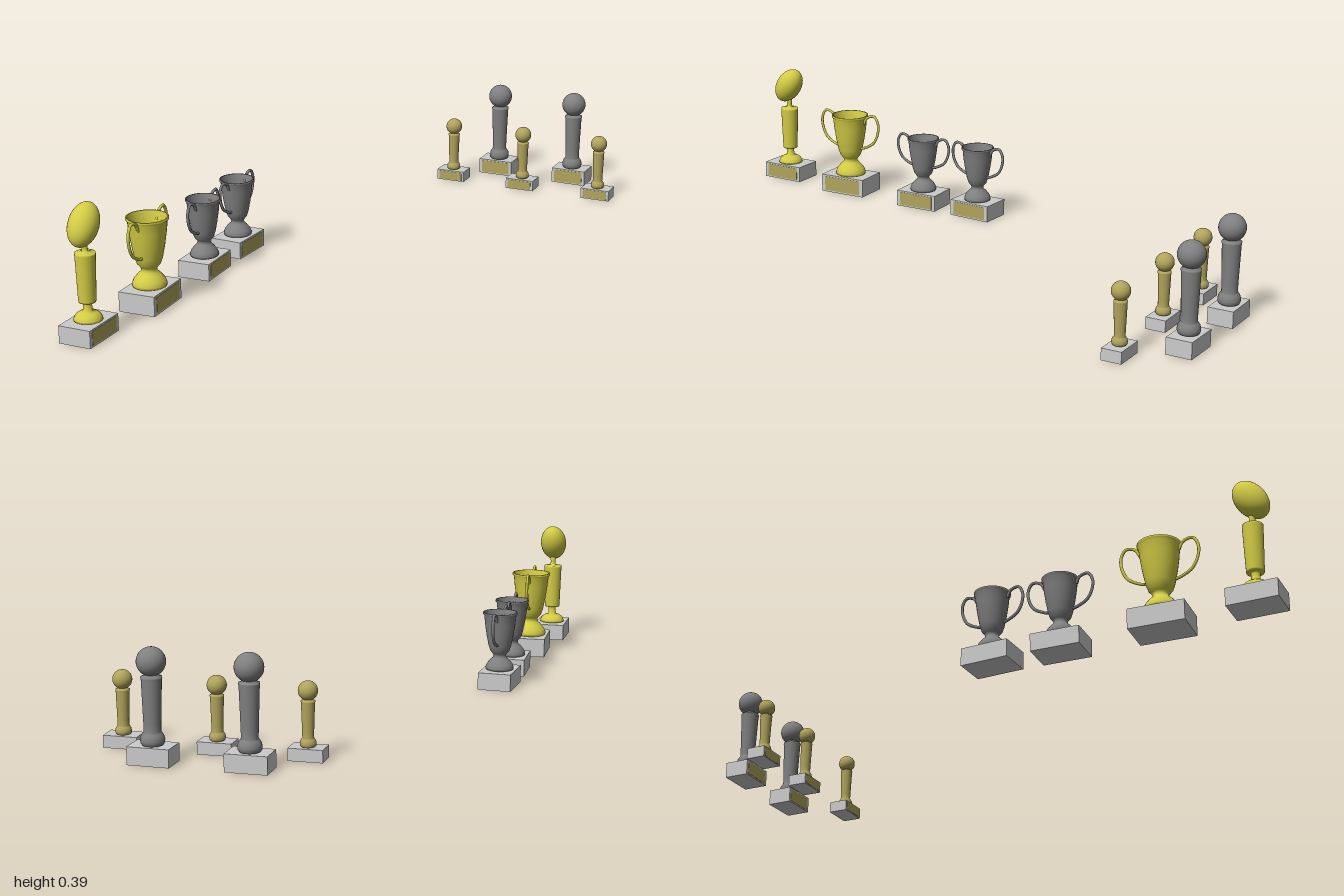
import * as THREE from 'three';

const mat = (color, side = THREE.FrontSide) =>
  new THREE.MeshStandardMaterial({ color, side });
const STONE = mat(0xcccccc);
const BRASS = mat(0xb0a45c);
const GOLD = mat(0xd2cc45, THREE.DoubleSide);
const PEWTER = mat(0x808080, THREE.DoubleSide);

function add(parent, name, geometry, material, x = 0, y = 0, z = 0) {
  const mesh = new THREE.Mesh(geometry, material);
  mesh.name = name;
  mesh.position.set(x, y, z);
  parent.add(mesh);
  return mesh;
}

// Turned part from [radius, height] pairs
const turned = (points, segments = 32) =>
  new THREE.LatheGeometry(points.map(([r, y]) => new THREE.Vector2(r, y)), segments);

// Block with a framed plaque on its front (+z)
function plinth(parent, w, h, d) {
  add(parent, 'plinth', new THREE.BoxGeometry(w, h, d), STONE, 0, h / 2, 0);
  add(parent, 'plaque', new THREE.BoxGeometry(w * 0.84, h * 0.82, 0.002), BRASS, 0, h / 2, d / 2);
}

// Round ball on a tapering column; s = 1 is the large size
function ballTrophy(name, s, w, h, d, material) {
  const g = new THREE.Group();
  g.name = name;
  plinth(g, w, h, d);
  const column = [
    [0, 0], [0.028, 0], [0.032, 0.006], [0.033, 0.014], [0.031, 0.024], [0.026, 0.032],
    [0.023, 0.036], [0.0235, 0.06], [0.0275, 0.177], [0.0285, 0.179], [0.0285, 0.184],
    [0.021, 0.186], [0.019, 0.194], [0, 0.194]
  ].map(([r, y]) => [r * s, y * s]);
  add(g, 'column', turned(column), material, 0, h, 0);
  add(g, 'ball', new THREE.SphereGeometry(0.0395 * s, 32, 24), material, 0, h + 0.224 * s, 0);
  return g;
}

// Oval ball leaning on a thin stem
function ovalBallTrophy() {
  const g = new THREE.Group();
  g.name = 'ovalBallTrophy';
  plinth(g, 0.146, 0.052, 0.1);
  add(g, 'column', turned([
    [0, 0.052], [0.041, 0.052], [0.04, 0.058], [0.035, 0.068], [0.025, 0.075],
    [0.013, 0.079], [0.012, 0.1], [0.013, 0.104], [0.024, 0.105], [0.025, 0.11],
    [0.029, 0.243], [0.029, 0.248], [0.009, 0.25], [0.008, 0.262], [0.01, 0.285], [0, 0.285]
  ]), GOLD);
  const ball = add(g, 'ovalBall', new THREE.SphereGeometry(1, 32, 24), GOLD, 0, 0.328, 0);
  ball.scale.set(0.043, 0.065, 0.043);
  ball.rotation.z = -0.6;
  return g;
}

// Open two-handled cup: H rim height, R rim radius, reach of the handles
function cupTrophy(name, w, h, d, H, R, reach, material) {
  const g = new THREE.Group();
  g.name = name;
  plinth(g, w, h, d);
  const c = H - h;
  const profile = [
    [0, 0], [0.8, 0], [0.82, 0.04], [0.74, 0.1], [0.55, 0.17], [0.4, 0.21],
    [0.36, 0.25], [0.42, 0.28], [0.56, 0.33], [0.66, 0.42], [0.78, 0.6], [0.88, 0.8],
    [0.93, 0.95], [1, 0.97], [1, 1], [0.92, 1], [0.84, 0.8], [0.73, 0.6],
    [0.6, 0.42], [0.45, 0.33], [0, 0.31]
  ].map(([r, y]) => [r * R, h + y * c]);
  add(g, 'cup', turned(profile), material);
  // One handle curve, mirrored to the other side
  for (const side of [-1, 1]) {
    const path = new THREE.CatmullRomCurve3([
      [R * 0.88, H - c * 0.13], [R * 1.12, H - c * 0.01], [reach * 0.84, H + c * 0.02],
      [reach * 0.97, H - c * 0.1], [reach * 0.95, H - c * 0.27],
      [reach * 0.8, H - c * 0.43], [R * 1.0, H - c * 0.52], [R * 0.7, H - c * 0.55]
    ].map(([x, y]) => new THREE.Vector3(side * x, y, 0)));
    add(g, 'handle', new THREE.TubeGeometry(path, 40, 0.0045, 8), material);
  }
  return g;
}

export function createModel() {
  const model = new THREE.Group();
  model.name = 'trophyCollection';
  const place = (g, x, z, yaw = 0) => {
    g.position.set(x, 0, z);
    g.rotation.y = yaw;
    model.add(g);
  };

  // Back rows, facing the front
  for (const x of [-0.072, 0.181, 0.45])
    place(ballTrophy('smallBallTrophy', 0.68, 0.097, 0.035, 0.061, BRASS), x, -0.822);
  for (const [x, yaw] of [[0.045, 0], [0.313, -0.02]])
    place(ballTrophy('largeBallTrophy', 1, 0.118, 0.05, 0.078, PEWTER), x, -0.96, yaw);

  // Side row, facing the middle of the set
  const q = Math.PI / 2;
  place(ovalBallTrophy(), -0.45, 0.925, q);
  place(cupTrophy('goldCup', 0.163, 0.06, 0.114, 0.268, 0.062, 0.115, GOLD), -0.42, 0.647, q + 0.04);
  place(cupTrophy('greyCup', 0.145, 0.053, 0.102, 0.232, 0.053, 0.1, PEWTER), -0.41, 0.345, q + 0.03);
  place(cupTrophy('greyCup', 0.145, 0.053, 0.102, 0.232, 0.053, 0.1, PEWTER), -0.41, 0.134, q - 0.05);
  return model;
}
